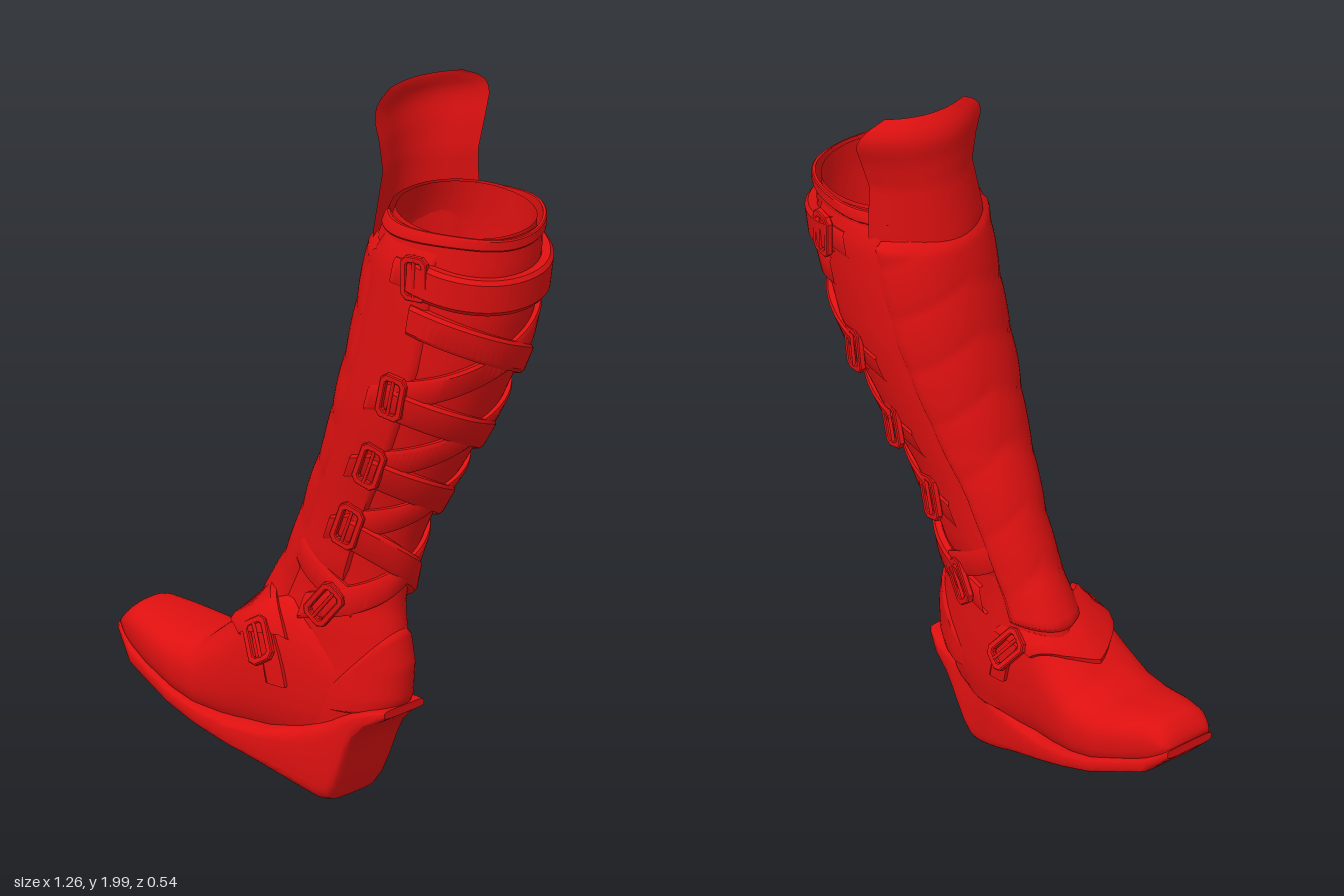
import * as THREE from 'three';
import { ParametricGeometry } from 'three/addons/geometries/ParametricGeometry.js';
import { toCreasedNormals } from 'three/addons/utils/BufferGeometryUtils.js';

const RED = new THREE.MeshStandardMaterial({ color: 0xdd1010, side: THREE.DoubleSide });
const { lerp, smoothstep } = THREE.MathUtils;

// Interpolates a table of rows by its first column
function sample(rows, k) {
  let i = 0;
  while (i < rows.length - 2 && k > rows[i + 1][0]) i++;
  const a = rows[i], b = rows[i + 1];
  const f = THREE.MathUtils.clamp((k - a[0]) / (b[0] - a[0]), 0, 1);
  return a.map((n, j) => lerp(n, b[j], f));
}
const power = (c, n) => Math.sign(c) * Math.abs(c) ** (2 / n);

// Leg rings: y, front x, back x, low z, high z
const LEG = [
  [0.19, -0.12, 0.16, -0.03, 0.18], [0.26, -0.18, 0.235, -0.045, 0.182], [0.31, -0.2, 0.257, -0.05, 0.18],
  [0.4, -0.22, 0.262, -0.05, 0.17],
  [0.5, -0.21, 0.245, -0.045, 0.165], [0.56, -0.175, 0.235, -0.045, 0.155], [0.65, -0.125, 0.245, -0.055, 0.15],
  [0.75, -0.085, 0.275, -0.07, 0.15], [0.85, -0.05, 0.32, -0.085, 0.155], [1.0, 0.01, 0.41, -0.125, 0.175],
  [1.15, 0.05, 0.49, -0.165, 0.19], [1.3, 0.085, 0.555, -0.2, 0.19], [1.45, 0.115, 0.585, -0.22, 0.185],
  [1.58, 0.14, 0.595, -0.23, 0.18], [1.69, 0.19, 0.59, -0.23, 0.16]];
// Foot sections: x, low y, high y, low z, high z
const FOOT = [
  [-0.625, 0.32, 0.355, 0.052, 0.198], [-0.605, 0.29, 0.382, 0.038, 0.212], [-0.58, 0.265, 0.4, 0.028, 0.222],
  [-0.5, 0.225, 0.39, 0, 0.245],
  [-0.4, 0.185, 0.372, -0.03, 0.262], [-0.32, 0.16, 0.378, -0.035, 0.267], [-0.24, 0.14, 0.445, -0.035, 0.255],
  [-0.16, 0.13, 0.535, -0.035, 0.235], [-0.05, 0.12, 0.555, -0.04, 0.212], [0.04, 0.12, 0.51, -0.042, 0.19],
  [0.13, 0.17, 0.44, -0.035, 0.165], [0.19, 0.24, 0.38, -0.01, 0.13]];
// Sole sections: x, low y, high y, low z, high z
const SOLE = [
  [-0.632, 0.31, 0.337, 0.05, 0.2], [-0.56, 0.24, 0.29, 0.015, 0.235], [-0.4, 0.18, 0.232, -0.035, 0.268],
  [-0.3, 0.145, 0.205, -0.04, 0.272], [-0.2, 0.11, 0.188, -0.037, 0.262], [-0.1, 0.075, 0.185, -0.03, 0.242],
  [0, 0.035, 0.205, -0.025, 0.222], [0.07, 0.01, 0.23, -0.015, 0.208], [0.1, 0.012, 0.245, -0.015, 0.2],
  [0.125, 0.05, 0.26, -0.02, 0.195], [0.165, 0.19, 0.277, -0.035, 0.182], [0.21, 0.24, 0.288, -0.035, 0.17],
  [0.262, 0.272, 0.295, -0.01, 0.145]];

// Point on the leg: t = 0 at the calf, pi at the shin, positive on the +z side
function leg(t, y, off = 0) {
  const [, x0, x1, z0, z1] = sample(LEG, y);
  const slant = y > 1.58 ? (1.58 - y) * 0.13 * Math.cos(t) : 0;
  return new THREE.Vector3((x0 + x1) / 2 + ((x1 - x0) / 2 + off) * power(Math.cos(t), 2.1),
    y + slant, (z0 + z1) / 2 + ((z1 - z0) / 2 + off) * power(Math.sin(t), 2.1));
}
// Point on a section along x: t = 0 on top, positive on the +z side
const along = (rows, n) => (t, x, off = 0) => {
  const [, y0, y1, z0, z1] = sample(rows, x);
  return new THREE.Vector3(x, (y0 + y1) / 2 + ((y1 - y0) / 2 + off) * power(Math.cos(t), n),
    (z0 + z1) / 2 + ((z1 - z0) / 2 + off) * power(Math.sin(t), n));
};
const foot = along(FOOT, 2.6), sole = along(SOLE, 5);

function surface(name, fn, nu, nv, crease = 0.9) {
  const geo = new ParametricGeometry((u, v, out) => out.copy(fn(u, v)), nu, nv);
  const mesh = new THREE.Mesh(toCreasedNormals(geo, crease), RED);
  mesh.name = name;
  return mesh;
}
// Closed body along x, with pinched ends
function body(name, surf, rows, steps, crease) {
  const x0 = rows[0][0], x1 = rows.at(-1)[0];
  return surface(name, (u, v) => {
    const k = v * (steps + 2) - 1;
    const x = lerp(x0, x1, Math.min(Math.max(k / steps, 0), 1));
    const p = surf(u * Math.PI * 2, x);
    if (k < -0.01 || k > steps + 0.01) {
      const [, a, b, c, d] = sample(rows, x);
      p.set(x, (a + b) / 2, (c + d) / 2);
    }
    return p;
  }, 40, steps + 2, crease);
}
// Thick band lying on a surface, its middle following mid(t)
function strap(name, surf, t0, t1, mid, width, lift = 0.022, n = 36) {
  const ring = [[-0.5, -0.01], [-0.5, 0.7], [-0.38, 1], [0.38, 1], [0.5, 0.7], [0.5, -0.01], [-0.5, -0.01]];
  return surface(name, (u, v) => {
    const t = lerp(t0, t1, u), [w, h] = ring[Math.round(v * 6)];
    return surf(t, mid(t) + w * width, h * lift);
  }, n, 6, 0.6);
}
// Raised panel lying on the leg between two heights
function panel(name, t0, t1, low, high, off, nu = 20, nv = 24) {
  return surface(name, (u, v) => {
    const t = lerp(t0, t1, u), y = lerp(low(t), high(t), v);
    const edge = u < 0.01 || u > 0.99 || v < 0.01 || v > 0.99;
    return leg(t, y, edge ? 0 : off(t, y));
  }, nu, nv, 1);
}
// Eight-sided frame with a prong, laid on a surface
function buckle(surf, t, v, tilt, size = 1) {
  const group = new THREE.Group();
  group.name = 'buckle';
  const outline = (Path, w, h, c) => new Path([[-w + c, -h], [w - c, -h], [w, -h + c], [w, h - c],
    [w - c, h], [-w + c, h], [-w, h - c], [-w, -h + c]].map(p => new THREE.Vector2(...p)));
  const shape = outline(THREE.Shape, 0.037, 0.06, 0.014);
  shape.holes.push(outline(THREE.Path, 0.025, 0.047, 0.008));
  const frame = new THREE.Mesh(new THREE.ExtrudeGeometry(shape, {
    depth: 0.012, bevelEnabled: true, bevelSize: 0.003, bevelThickness: 0.003, bevelSegments: 1 }), RED);
  const prong = new THREE.Mesh(new THREE.CylinderGeometry(0.005, 0.005, 0.1, 8), RED);
  frame.name = 'buckleFrame';
  prong.name = 'buckleProng';
  prong.position.z = 0.012;
  group.add(frame, prong);
  const normal = surf(t, v, 0.1).sub(surf(t, v)).normalize();
  const up = new THREE.Vector3(Math.sin(tilt), Math.cos(tilt), 0);
  up.addScaledVector(normal, -up.dot(normal)).normalize();
  group.quaternion.setFromRotationMatrix(new THREE.Matrix4().makeBasis(up.clone().cross(normal), up, normal));
  group.position.copy(surf(t, v, 0.016));
  group.scale.setScalar(size);
  return group;
}

export function createModel() {
  const boot = new THREE.Group();
  boot.name = 'boot';

  // Wedge sole, foot and leg shaft with an inner lining
  boot.add(body('wedgeSole', sole, SOLE, 50, 0.7), body('footUpper', foot, FOOT, 60, 1.2));
  boot.add(surface('shaft', (u, v) => leg(u * Math.PI * 2, lerp(0.19, 1.69, v)), 48, 60, 1.2));
  boot.add(surface('lining', (u, v) => leg(u * Math.PI * 2, lerp(0.5, 1.69, v), -0.015), 40, 30, 1.2));
  boot.add(strap('rim', leg, -2.35, 2.35, t => 1.675 - 0.008 * Math.cos(3 * t), 0.035, 0.01));

  // Padded shin guard with chevron segments
  const pad = (t, y) => {
    const phase = (y - 0.52 + 0.1 * Math.abs(Math.abs(t) - Math.PI)) / 0.16;
    return 0.014 + 0.006 * Math.abs(Math.sin(phase * Math.PI)) ** 0.5;
  };
  boot.add(panel('shinGuard', 2.05, Math.PI * 2 - 2.05, () => 0.5, () => 1.61, pad, 24, 66));

  // Tall tongue: y, then x and z of its far edge, middle and near edge
  const TONGUE = [
    [1.4, 0.25, -0.19, 0.13, -0.04, 0.19, 0.11], [1.62, 0.268, -0.218, 0.14, -0.05, 0.19, 0.11],
    [1.78, 0.268, -0.215, 0.155, -0.07, 0.195, 0.078], [1.86, 0.268, -0.24, 0.153, -0.08, 0.192, 0.088],
    [1.93, 0.262, -0.268, 0.145, -0.09, 0.185, 0.1], [1.97, 0.25, -0.255, 0.155, -0.09, 0.182, 0.085],
    [2.0, 0.235, -0.19, 0.18, -0.08, 0.185, 0.04]];
  boot.add(surface('tongue', (u, v) => {
    const [y, ax, az, mx, mz, bx, bz] = sample(TONGUE, lerp(1.4, 2, v));
    const s = u < 0.5 ? u * 2 : 2 - u * 2;
    const a = (1 - s) * (1 - 2 * s), m = 4 * s * (1 - s), b = s * (2 * s - 1);
    const thick = u > 0.5 && u < 1 && v < 0.99 ? 0.018 * Math.min(1, m * 2) : 0;
    return new THREE.Vector3(a * ax + m * mx + b * bx + thick, y, a * az + m * mz + b * bz);
  }, 32, 30));

  // Heel counter
  boot.add(panel('heelCounter', -1.3, 1.3, () => 0.27, t => 0.5 - 0.1 * t * t, () => 0.008));

  const heights = [1.57, 1.22, 1.0, 0.8, 0.56];
  const tilts = [0, 0.2, 0.35, 0.35, 0.7];
  for (const s of [1, -1]) {
    // Side plackets edging the shin guard
    boot.add(panel('sidePlacket', s * 1.2, s * 2.2, () => 0.62, () => 1.64, () => 0.012));
    boot.add(strap('placketTrim', leg, s * 1.0, s * 2.15, t => 0.47 + 0.1 * Math.abs(t), 0.07, 0.016));

    heights.forEach((y, i) => {
      boot.add(buckle(leg, s * 1.38, y, tilts[i]));
      boot.add(strap('strapTail', leg, s * 1.3, s * 1.7, t => y - (i ? 0.08 : 0) * (Math.abs(t) - 1.38), 0.075, 0.018, 8));
      // Straps crossing behind the calf
      if (i) {
        const top = i === 1 ? 1.45 : heights[i - 1] - 0.02;
        boot.add(strap('crossStrap', leg, -1.4, 1.4,
          t => lerp(y, top, smoothstep(s * t, -1.6, 1.6) * 0.5 + (s * t + 1.4) / 5.6), 0.085, s > 0 ? 0.024 : 0.018));
      }
    });

    // Instep strap buckle and hanging strap end
    boot.add(buckle(foot, s * 1.25, -0.1, -0.55));
    boot.add(strap('instepStrapEnd', foot, s * 1.1, s * 1.62, t => -0.2 + 0.09 * Math.abs(t), 0.055, 0.014, 10));
  }

  // Band round the top and cuff over the instep
  boot.add(strap('topBand', leg, -1.5, 1.5, t => 1.52 + 0.025 * t * t, 0.1, 0.032));
  boot.add(strap('instepCuff', foot, -1.15, 1.15, t => -0.215 + 0.1 * Math.abs(t), 0.14, 0.018));
  return boot;
}
